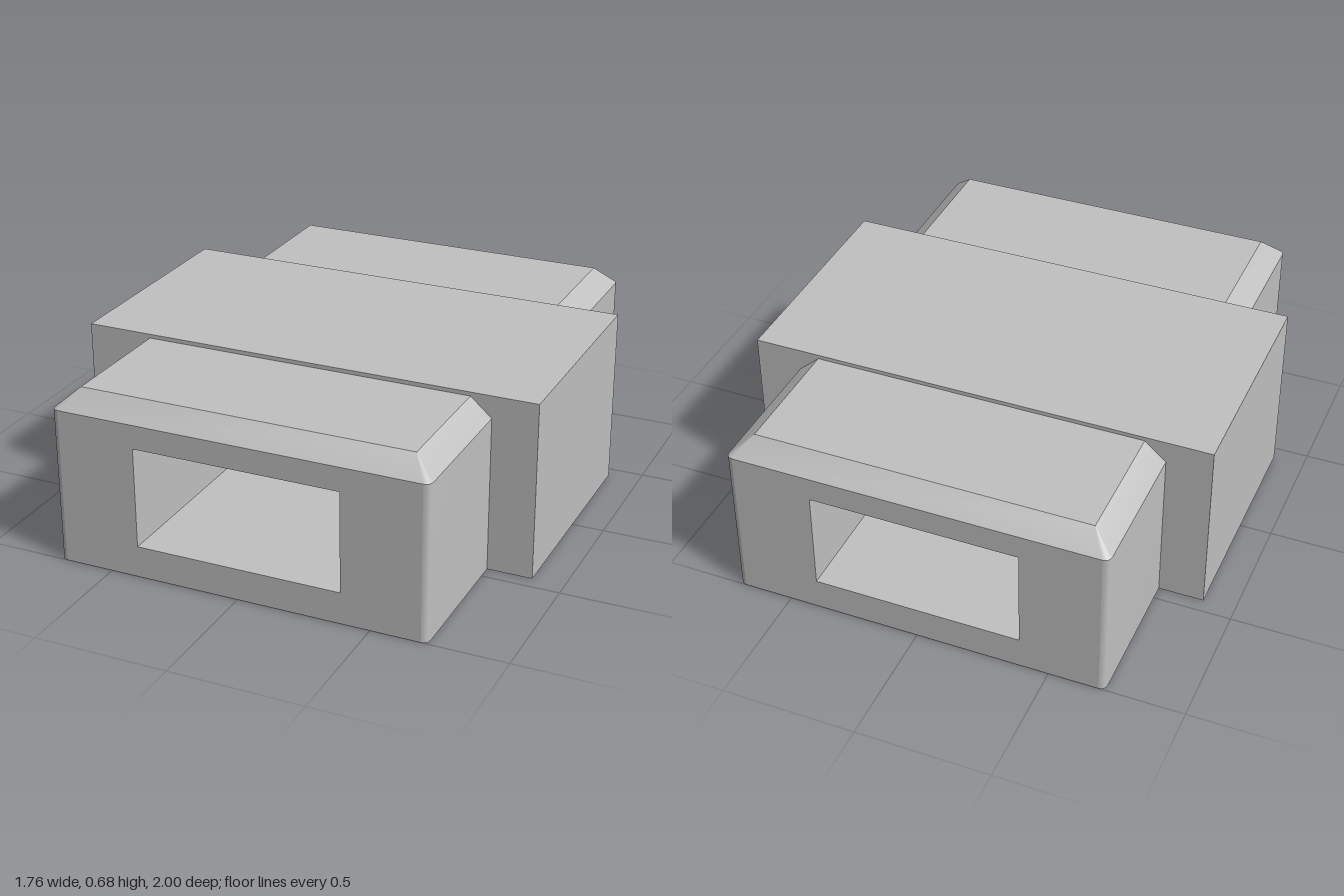
import * as THREE from 'three';
import { toCreasedNormals } from 'three/addons/utils/BufferGeometryUtils.js';

const W = 0.71, L = 1, EDGE = 0.59, TOP = 0.66; // body half width, half length, heights
const TOP_W = 0.63, TOP_L = 0.925;              // flat top inside the chamfer
const R = 0.025, STEPS = 4;                     // rounded upright corners
const WIN = { x: 0.39, y0: 0.12, y1: 0.5 };     // tunnel opening
const BLOCK = { w: 0.88, h: 0.675, l: 0.445 };

const same = (a, b) => a.distanceTo(b) < 1e-6;

// Joins two closed loops with faces, leaving out degenerate triangles
function strip(out, a, b, skip = () => false) {
  for (let i = 0; i < a.length; i++) {
    if (skip(i)) continue;
    const j = (i + 1) % a.length;
    for (const t of [[a[i], b[i], a[j]], [a[j], b[i], b[j]]]) {
      if (!same(t[0], t[1]) && !same(t[1], t[2]) && !same(t[0], t[2])) out.push(...t);
    }
  }
}

function toGeometry(points) {
  return toCreasedNormals(new THREE.BufferGeometry().setFromPoints(points), 0.6);
}

// Plan outline with four corners; radius 0 collapses each corner to a point
function outline(w, l, r, y) {
  const pts = [];
  [[1, 1], [-1, 1], [-1, -1], [1, -1]].forEach(([sx, sz], c) => {
    for (let k = 0; k <= STEPS; k++) {
      const a = (c + k / STEPS) * Math.PI / 2;
      pts.push(new THREE.Vector3(sx * (w - r) + r * Math.cos(a), y, sz * (l - r) + r * Math.sin(a)));
    }
  });
  return pts;
}

function rect(PathType, x, y0, y1) {
  return new PathType([[-x, y0], [x, y0], [x, y1], [-x, y1]].map(p => new THREE.Vector2(...p)));
}

export function createModel() {
  const model = new THREE.Group();
  const grey = new THREE.MeshStandardMaterial({ color: 0xc0c0c0 });
  grey.name = 'grey';
  const add = (name, geometry) => {
    const mesh = new THREE.Mesh(geometry, grey);
    mesh.name = name;
    model.add(mesh);
    return mesh;
  };

  // Long body: sides, chamfer, base and top; its end walls are separate panels
  const base = outline(W, L, R, 0);
  const edge = outline(W, L, R, EDGE);
  const top = outline(TOP_W, TOP_L, 0, TOP);
  const shell = [];
  const n = STEPS + 1;
  strip(shell, base, edge, i => i === n - 1 || i === 3 * n - 1);
  strip(shell, edge, top);
  strip(shell, base.map(() => new THREE.Vector3(0, 0, 0)), base);
  strip(shell, top, top.map(() => new THREE.Vector3(0, TOP, 0)));
  add('bodyShell', toGeometry(shell));

  // End walls with the rectangular opening
  const wall = rect(THREE.Shape, W - R, 0, EDGE);
  wall.holes.push(rect(THREE.Path, WIN.x, WIN.y0, WIN.y1));
  for (const s of [1, -1]) {
    const panel = add(s > 0 ? 'frontWall' : 'backWall', new THREE.ShapeGeometry(wall));
    panel.position.z = s * L;
    if (s < 0) panel.rotation.y = Math.PI;
  }

  // Tunnel lining, facing inwards
  const ring = z => rect(THREE.Shape, WIN.x, WIN.y0, WIN.y1).getPoints().slice(0, 4)
    .map(p => new THREE.Vector3(p.x, p.y, z));
  const lining = [];
  strip(lining, ring(-L), ring(L));
  add('tunnel', toGeometry(lining));

  // Wider middle sleeve, an arch fitted around the body
  const { w, h, l } = BLOCK;
  const arch = new THREE.Shape([
    [-w, 0], [-W, 0], [-W, EDGE], [-TOP_W, TOP], [TOP_W, TOP], [W, EDGE], [W, 0], [w, 0], [w, h], [-w, h],
  ].map(p => new THREE.Vector2(...p)));
  add('middleSleeve', new THREE.ExtrudeGeometry(arch, { depth: 2 * l, bevelEnabled: false }))
    .position.z = -l;

  return model;
}
